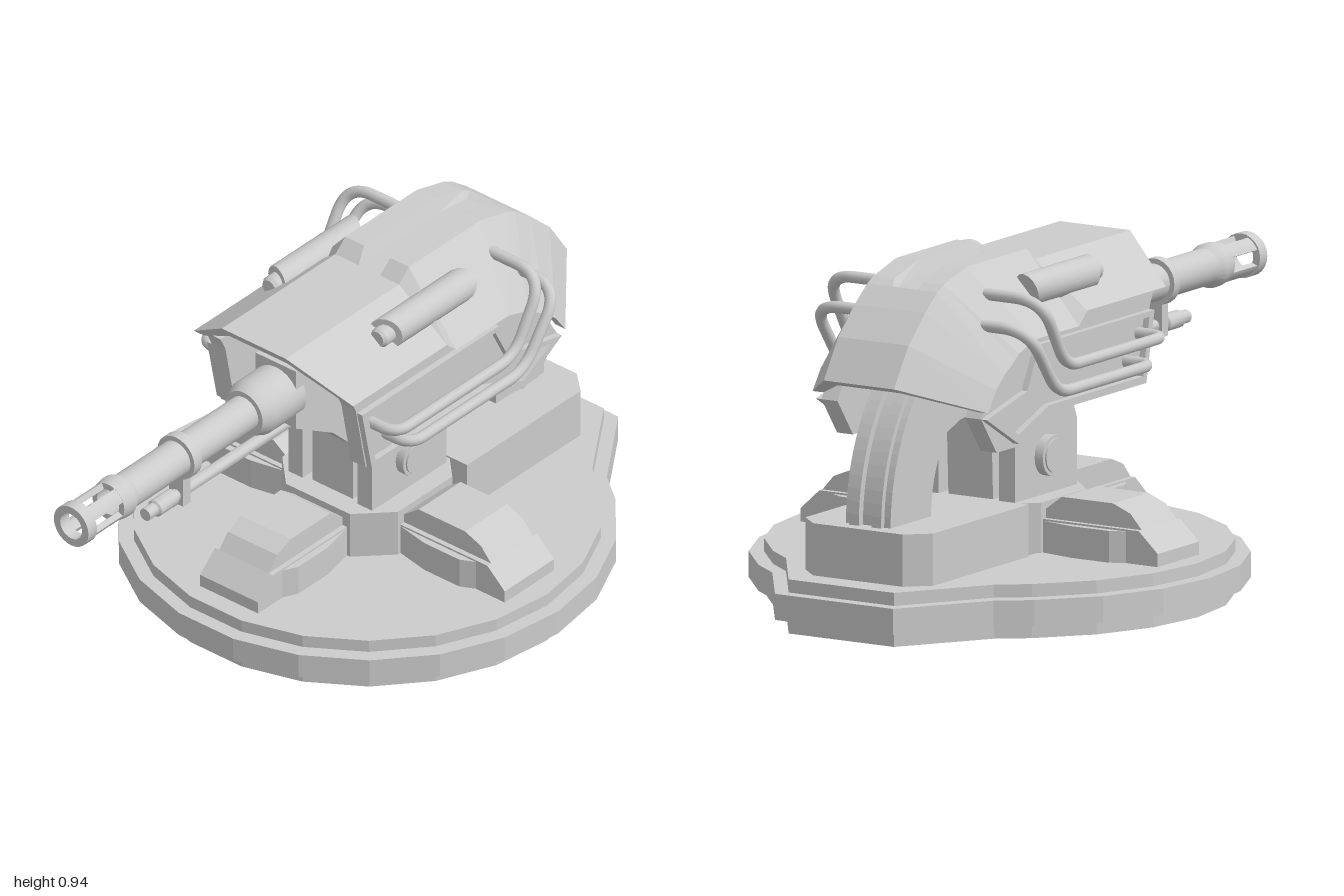
import * as THREE from 'three';
import { toCreasedNormals } from 'three/addons/utils/BufferGeometryUtils.js';

const flat = new THREE.MeshStandardMaterial({ color: 0xcccccc, flatShading: true, side: THREE.DoubleSide });
const smooth = new THREE.MeshStandardMaterial({ color: 0xcccccc, side: THREE.DoubleSide });
const CX = 0.2; // turning axis of the base

export function createModel() {
  const root = new THREE.Group();

  const add = (name, geo, mat = flat, parent = root) => {
    const m = new THREE.Mesh(geo, mat);
    m.name = name;
    parent.add(m);
    return m;
  };
  const toShape = (pts, holes = []) => {
    const s = new THREE.Shape(pts.map(p => new THREE.Vector2(p[0], p[1])));
    holes.forEach(h => s.holes.push(new THREE.Path(h.map(p => new THREE.Vector2(p[0], p[1])))));
    return s;
  };
  // Side profile (x, y) extruded from z0 to z1
  const slab = (pts, z0, z1, holes) =>
    new THREE.ExtrudeGeometry(toShape(pts, holes), { depth: z1 - z0, bevelEnabled: false }).translate(0, 0, z0);
  // Floor plan (x, z) extruded from y0 to y1
  const plan = (pts, y0, y1, holes) =>
    new THREE.ExtrudeGeometry(toShape(pts, holes), { depth: y1 - y0, bevelEnabled: false })
      .rotateX(Math.PI / 2).translate(0, y1, 0);
  // Removes the downward face so the part is hollow from below
  const openBottom = geo => {
    geo.computeBoundingBox();
    const low = geo.boundingBox.min.y + 1e-4, p = geo.attributes.position, out = [];
    for (let i = 0; i < p.count; i += 3) {
      if ([0, 1, 2].every(k => p.getY(i + k) < low)) continue;
      for (let k = 0; k < 3; k++) out.push(p.getX(i + k), p.getY(i + k), p.getZ(i + k));
    }
    const r = new THREE.BufferGeometry();
    r.setAttribute('position', new THREE.Float32BufferAttribute(out, 3));
    r.computeVertexNormals();
    return r;
  };
  // Turned part along x from [x, radius] pairs
  const turned = (pts, y, seg = 24) => toCreasedNormals(
    new THREE.LatheGeometry(pts.map(p => new THREE.Vector2(p[1], p[0])), seg)
      .rotateZ(-Math.PI / 2).translate(0, y, 0), 0.5);

  // --- Base: 22-sided plate with a spur at +x ---
  const outline = (r, tip, w) => {
    const pts = [[tip, -w], [tip, w], [CX + r * 0.855, r * 0.525]];
    const step = Math.PI / 11;
    for (let i = 0; i <= 17; i++) {
      const a = Math.PI / 2 + step * (i - 3);
      pts.push([CX + r * Math.cos(a), r * Math.sin(a)]);
    }
    pts.push([CX + r * 0.855, -r * 0.525]);
    return pts;
  };
  add('baseFoot', plan(outline(0.62, 0.965, 0.165), 0, 0.04, [outline(0.57, 0.9, 0.15)]));
  add('baseRim', plan(outline(0.66, 1, 0.185), 0.04, 0.11, [outline(0.59, 0.93, 0.16)]));
  const opening = [[-0.36, -0.1], [0.01, -0.1], [0.1, -0.19], [0.1, -0.56], [0.3, -0.56], [0.3, -0.19], [0.82, -0.19],
    [0.87, -0.13], [0.87, 0.13], [0.82, 0.19], [0.3, 0.19], [0.3, 0.56], [0.1, 0.56], [0.1, 0.19], [0.01, 0.1], [-0.36, 0.1]];
  add('baseTop', plan(outline(0.62, 0.965, 0.165), 0.11, 0.145, [opening]));

  // --- Hub and rear block ---
  const c = 0.11, h = 0.2;
  add('hub', openBottom(plan([[CX - h, -c], [CX - c, -h], [CX + c, -h], [CX + h, -c],
    [CX + h, c], [CX + c, h], [CX - c, h], [CX - h, c]], 0.14, 0.28)));
  add('rearBlock', openBottom(plan([[0.37, -0.2], [0.83, -0.2], [0.885, -0.14], [0.885, 0.14],
    [0.83, 0.2], [0.37, 0.2]], 0.14, 0.285)));

  // --- Three feet around the hub ---
  for (let i = 0; i < 3; i++) {
    const foot = new THREE.Group();
    foot.name = 'foot';
    foot.position.x = CX;
    foot.rotation.y = Math.PI / 2 * (i + 1);
    root.add(foot);
    add('footToe', openBottom(slab([[0.2, 0.14], [0.56, 0.14], [0.56, 0.18], [0.5, 0.235], [0.2, 0.235]], -0.1, 0.1)), flat, foot);
    add('footCheeks', openBottom(plan([[0.2, -0.1], [0.3, -0.12], [0.42, -0.12], [0.46, -0.1],
      [0.46, 0.1], [0.42, 0.12], [0.3, 0.12], [0.2, 0.1]], 0.14, 0.23)), flat, foot);
    add('footHump', openBottom(slab([[0.2, 0.2], [0.5, 0.2], [0.5, 0.235], [0.465, 0.275],
      [0.41, 0.297], [0.25, 0.297], [0.2, 0.26]], -0.085, 0.085)), flat, foot);
  }

  // --- Curved rear rail with grooves ---
  const arch = (ro, z0, z1) => {
    const s = new THREE.Shape();
    s.absarc(0.3, 0.28, ro, 0, 1.75, false);
    s.absarc(0.3, 0.28, 0.34, 1.75, 0, true);
    return new THREE.ExtrudeGeometry(s, { depth: z1 - z0, bevelEnabled: false, curveSegments: 14 }).translate(0, 0, z0);
  };
  [[0.535, -0.07, -0.05], [0.55, -0.05, -0.02], [0.53, -0.02, 0.02], [0.55, 0.02, 0.05], [0.535, 0.05, 0.07]]
    .forEach(a => add('rearRail', arch(...a)));

  // --- Central gun body ---
  add('gunBody', slab([[-0.17, 0.62], [-0.02, 0.53], [0.06, 0.45], [0.06, 0.28], [0.34, 0.28], [0.35, 0.54],
    [0.5, 0.52], [0.61, 0.48], [0.67, 0.47], [0.715, 0.5], [0.71, 0.58], [0.66, 0.67], [0.5, 0.8], [-0.17, 0.8]], -0.07, 0.07));

  // --- Trunnion brackets and pins ---
  for (const s of [-1, 1]) {
    const bracket = slab([[0.05, 0.27], [0.35, 0.27], [0.35, 0.46], [0.335, 0.495], [0.3, 0.515],
      [0.1, 0.515], [0.065, 0.495], [0.05, 0.46]], -0.025, 0.025);
    add('bracket', bracket).position.z = s * 0.12;
    add('bracketSpacer', new THREE.CylinderGeometry(0.1, 0.1, 0.05, 24).rotateX(Math.PI / 2), smooth)
      .position.set(CX, 0.385, s * 0.08);
    add('pin', toCreasedNormals(new THREE.CylinderGeometry(0.055, 0.055, 0.03, 20).rotateX(Math.PI / 2), 0.5), smooth)
      .position.set(CX, 0.385, s * 0.156);
    add('pinCap', toCreasedNormals(new THREE.CylinderGeometry(0.045, 0.045, 0.03, 20).rotateX(Math.PI / 2), 0.5), smooth)
      .position.set(CX, 0.385, s * 0.161);
  }

  // --- Armoured housing: lofted shell; each station is [topX, topY, bottomX, bottomY, grooveDepth] ---
  const stations = [
    [-0.26, 0.905, -0.18, 0.785, 0], [0.2, 0.905, 0.2, 0.785, 0], [0.24, 0.94, 0.24, 0.75, 0.035],
    [0.53, 0.94, 0.45, 0.75, 0.035], [0.64, 0.91, 0.53, 0.725, 0.02], [0.67, 0.895, 0.55, 0.71, 0],
    [0.73, 0.85, 0.6, 0.68, 0], [0.81, 0.775, 0.64, 0.645, 0], [0.88, 0.67, 0.68, 0.59, 0]];
  const verts = [], faces = [];
  for (const [tx, ty, bx, by, g] of stations) {
    const half = [[bx, by, 0.275], [tx, ty, 0.11], [tx, ty, 0.045], [tx, ty - g, 0.03]];
    const outer = [...half, ...half.slice().reverse().map(p => [p[0], p[1], -p[2]])];
    // the lining stays in the plane of its station
    const lining = outer.slice().reverse().map((p, i) => i === 0 || i === 7
      ? [p[0], p[1], p[2] * 0.88]
      : [tx + (bx - tx) * 0.25, ty + (by - ty) * 0.25 - g * 0.2, p[2] * 0.9]);
    [...outer, ...lining].forEach(p => verts.push(...p));
  }
  const quad = (a, b, d, e) => faces.push(a, b, d, a, d, e);
  for (let s = 0; s < stations.length - 1; s++)
    for (let i = 0; i < 16; i++) {
      const j = (i + 1) % 16, o = s * 16;
      quad(o + i, o + 16 + i, o + 16 + j, o + j);
    }
  const last = (stations.length - 1) * 16;
  for (let i = 0; i < 7; i++) {
    quad(i, i + 1, 14 - i, 15 - i);
    quad(last + i, last + 15 - i, last + 14 - i, last + i + 1);
  }
  const shell = new THREE.BufferGeometry();
  shell.setAttribute('position', new THREE.Float32BufferAttribute(verts, 3));
  shell.setIndex(faces);
  shell.computeVertexNormals();
  add('housing', shell);

  // --- Side panels, frames, pipes and canisters ---
  const panel = [[-0.14, 0.74], [-0.1, 0.54], [0.37, 0.54], [0.51, 0.468], [0.6, 0.468], [0.675, 0.57],
    [0.62, 0.66], [0.5, 0.74], [0.2, 0.78], [-0.16, 0.78]];
  const frame = [[-0.135, 0.73], [-0.095, 0.54], [0.37, 0.54], [0.52, 0.48], [0.675, 0.57], [0.48, 0.615], [0.42, 0.73]];
  const frameHole = [[-0.11, 0.715], [-0.08, 0.56], [0.375, 0.56], [0.52, 0.505], [0.63, 0.565], [0.465, 0.6], [0.405, 0.715]];
  const pipe = (x0, y0, x1, x2, y2, s) => {
    const pts = [[x0, y0, 0.24], [x0, y0, 0.337], [x1, y0, 0.337], [x2, y2, 0.337], [x2, y2, 0.16]]
      .map(p => new THREE.Vector3(p[0], p[1], p[2] * s));
    const path = new THREE.CurvePath(), r = [0, 0.05, 0.06, 0.085];
    let from = pts[0];
    for (let i = 1; i < 4; i++) { // rounded corners
      const a = pts[i].clone().add(pts[i - 1].clone().sub(pts[i]).setLength(r[i]));
      const b = pts[i].clone().add(pts[i + 1].clone().sub(pts[i]).setLength(r[i]));
      path.add(new THREE.LineCurve3(from, a));
      path.add(new THREE.QuadraticBezierCurve3(a, pts[i], b));
      from = b;
    }
    path.add(new THREE.LineCurve3(from, pts[4]));
    return new THREE.TubeGeometry(path, 90, 0.016, 10);
  };
  for (const s of [-1, 1]) {
    const span = (a, b) => (s > 0 ? [a, b] : [-b, -a]);
    add('sidePanel', slab(panel, ...span(0.2, 0.25)));
    add('panelFrame', slab(frame, ...span(0.25, 0.268), [frameHole]));
    add('upperPipe', pipe(-0.08, 0.675, 0.4, 0.515, 0.87, s), smooth);
    add('lowerPipe', pipe(-0.02, 0.61, 0.44, 0.58, 0.8, s), smooth);

    // canister with slanted ends
    const can = new THREE.CylinderGeometry(0.045, 0.045, 0.3, 16).rotateZ(-Math.PI / 2);
    const p = can.attributes.position;
    for (let i = 0; i < p.count; i++) {
      const x = p.getX(i);
      p.setX(i, x + 0.35 * s * p.getZ(i) + (x > 0 ? 0.4 * p.getY(i) : 0));
    }
    add('canister', toCreasedNormals(can, 0.5), smooth).position.set(0.205, 0.857, s * 0.187);
    add('canisterCap', turned([[0.02, 0], [0.02, 0.022], [0.03, 0.028], [0.08, 0.028]], 0.857, 14), smooth)
      .position.z = s * 0.187;
  }

  // --- Barrel, muzzle and lower rod ---
  const BY = 0.705;
  add('barrel', turned([[-0.8, 0.034], [-0.8, 0.05], [-0.3, 0.05], [-0.3, 0.065], [-0.265, 0.08],
    [-0.2, 0.08], [-0.14, 0.08], [-0.14, 0]], BY), smooth);
  add('muzzleTip', turned([[-0.965, 0.038], [-1, 0.038], [-1, 0.06], [-0.965, 0.06], [-0.965, 0.038]], BY), smooth);
  add('muzzleSleeve', turned([[-0.85, 0.038], [-0.85, 0.056], [-0.825, 0.06], [-0.805, 0.06],
    [-0.785, 0.05], [-0.785, 0.034], [-0.85, 0.038]], BY), smooth);
  for (let i = 0; i < 4; i++) {
    const mid = Math.PI / 4 + i * Math.PI / 2, w = 0.39, bar = new THREE.Shape();
    bar.absarc(0, 0, 0.055, mid - w, mid + w, false);
    bar.absarc(0, 0, 0.038, mid + w, mid - w, true);
    add('muzzleBar', new THREE.ExtrudeGeometry(bar, { depth: 0.12, bevelEnabled: false, curveSegments: 5 })
      .rotateY(Math.PI / 2).translate(-0.968, BY, 0));
  }
  add('lowerRod', turned([[-0.7, 0], [-0.7, 0.018], [-0.665, 0.018], [-0.66, 0.024], [-0.59, 0.024],
    [-0.585, 0.017], [0, 0.017]], 0.588, 14), smooth);
  add('barrelClamp', turned([[-0.575, 0.048], [-0.575, 0.064], [-0.545, 0.064], [-0.545, 0.048]], BY), smooth);
  add('clampLug', new THREE.BoxGeometry(0.03, 0.1, 0.05)).position.set(-0.56, 0.61, 0);
  return root;
}
